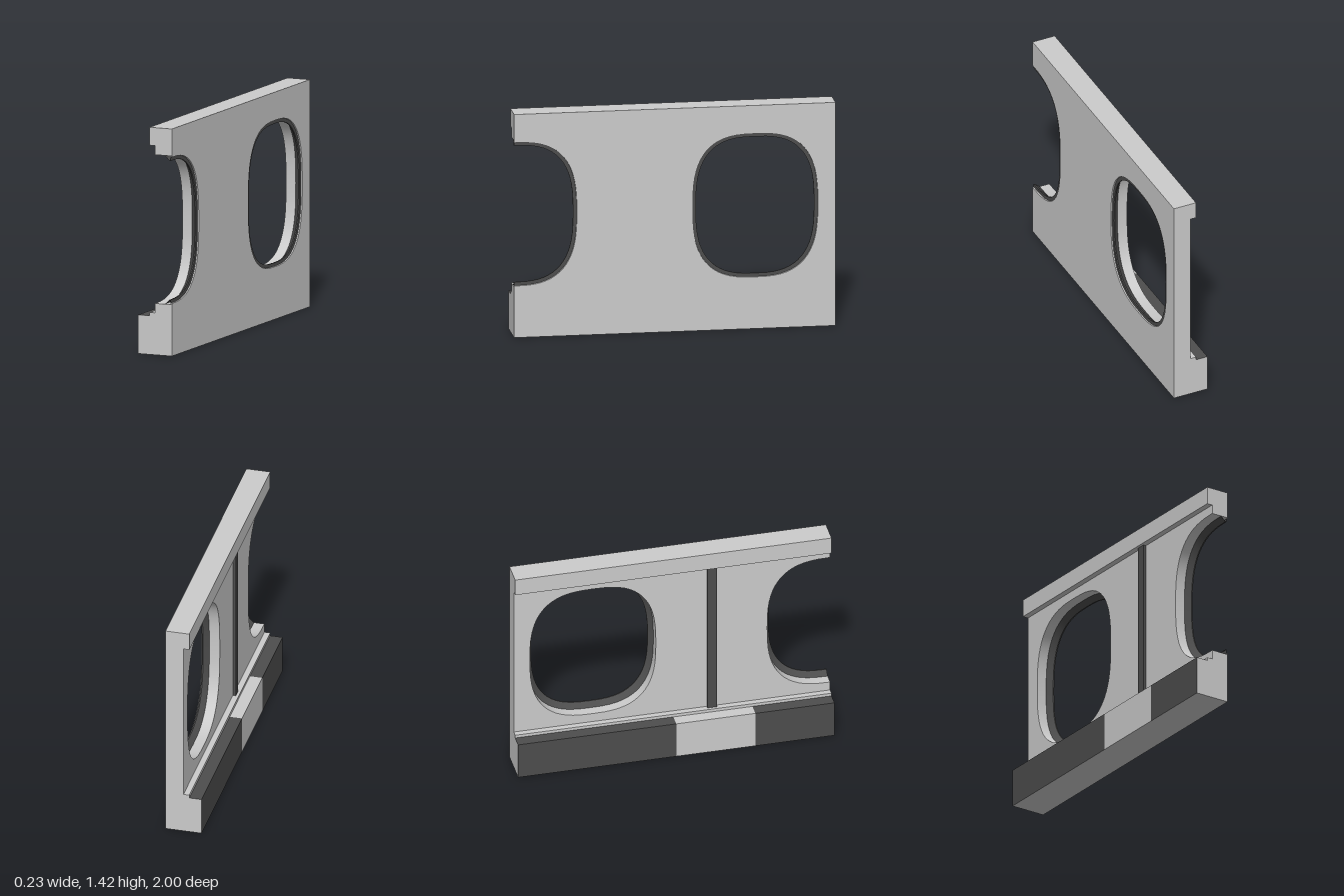
import * as THREE from 'three';
import { toCreasedNormals } from 'three/addons/utils/BufferGeometryUtils.js';

const grey = new THREE.MeshStandardMaterial({ color: 0xcccccc, side: THREE.DoubleSide });
const dark = new THREE.MeshStandardMaterial({ color: 0x4d4d4d, side: THREE.DoubleSide });

const HEIGHT = 1.418, OUT = 0.114;           // wall height and outer face
const CY = 0.785, A = 0.398, B = 0.464, N = 2.8; // window centre and half sizes
const SEG = 64;

// Point on the rounded window outline, u runs towards -z
function outline(cu, t, inset = 0) {
  const c = Math.cos(t), s = Math.sin(t);
  return new THREE.Vector2(
    cu + (A - inset) * Math.sign(c) * Math.abs(c) ** (2 / N),
    CY + (B - inset) * Math.sign(s) * Math.abs(s) ** (2 / N));
}

function arc(cu, t0, t1, n) {
  return Array.from({ length: n + 1 }, (_, i) => outline(cu, t0 + (t1 - t0) * i / n));
}

function add(parent, name, geometry, material) {
  const mesh = new THREE.Mesh(geometry, material);
  mesh.name = name;
  parent.add(mesh);
  return mesh;
}

// Box given by its limits
function box(parent, name, [x0, x1], [y0, y1], [z0, z1], material) {
  const mesh = add(parent, name, new THREE.BoxGeometry(x1 - x0, y1 - y0, z1 - z0), material);
  mesh.position.set((x0 + x1) / 2, (y0 + y1) / 2, (z0 + z1) / 2);
}

// Sweep a profile of [x, inset] points along the window outline
function sweep(profile, cu, t0, t1, n) {
  const pos = [];
  const at = (i, j) => {
    const p = profile[j];
    const q = outline(cu, t0 + (t1 - t0) * i / n, p[1]);
    return [p[0], q.y, -q.x];
  };
  for (let i = 0; i < n; i++) {
    for (let j = 0; j < profile.length - 1; j++) {
      const a = at(i, j), b = at(i, j + 1), c = at(i + 1, j), d = at(i + 1, j + 1);
      pos.push(...a, ...b, ...c, ...b, ...d, ...c);
    }
  }
  const g = new THREE.BufferGeometry();
  g.setAttribute('position', new THREE.Float32BufferAttribute(pos, 3));
  return toCreasedNormals(g, 0.5);
}

export function createModel() {
  const model = new THREE.Group();
  model.name = 'windowWallSection';

  // Wall with one full window and one half window cut by the front end
  const shape = new THREE.Shape([
    new THREE.Vector2(-1, 0), new THREE.Vector2(1, 0),
    new THREE.Vector2(1, HEIGHT), new THREE.Vector2(-1, HEIGHT),
    ...arc(-1, Math.PI / 2, -Math.PI / 2, SEG / 2).map(p => p.setX(Math.max(p.x, -1))),
  ]);
  shape.holes.push(new THREE.Path(arc(0.5, 0, -2 * Math.PI, SEG).slice(0, -1)));
  const wall = new THREE.ExtrudeGeometry(shape, { depth: OUT, bevelEnabled: false });
  wall.rotateY(Math.PI / 2);
  add(model, 'wall', toCreasedNormals(wall, 0.5), grey);

  // Window seals: a dark sloped lip inside a thin grey rim
  const seal = [[0.066, 0], [0.098, 0.03], [0.106, 0.03], [0.106, 0.008]];
  const rim = [[0.106, 0.008], [OUT, 0.007], [OUT, 0]];
  const windows = [
    ['fullWindow', 0.5, 0, 2 * Math.PI, SEG],
    ['halfWindow', -1, -Math.PI / 2, Math.PI / 2, SEG / 2],
  ];
  for (const [name, cu, t0, t1, n] of windows) {
    const group = new THREE.Group();
    group.name = name;
    add(group, 'seal', sweep(seal, cu, t0, t1, n), dark);
    add(group, 'rim', sweep(rim, cu, t0, t1, n), grey);
    model.add(group);
  }

  // Top rail and the small lip above the ledge
  box(model, 'topRail', [-0.037, 0], [1.306, HEIGHT], [-1, 1], grey);
  box(model, 'lowerLip', [-0.037, 0], [0.242, 0.262], [-1, 1], grey);

  // Ledge: dark inner side and top, with a plain section in the middle
  const covered = [grey, dark, dark, grey, grey, grey];
  box(model, 'backLedge', [-0.115, 0], [0, 0.242], [-1, 0], covered);
  box(model, 'middleLedge', [-0.115, 0], [0, 0.242], [0, 0.5], grey);
  box(model, 'frontLedge', [-0.115, 0], [0, 0.242], [0.5, 1], covered);

  // Dark strip between the windows
  box(model, 'jointStrip', [-0.019, 0], [0.262, 1.306], [0.22, 0.28], dark);

  return model;
}
